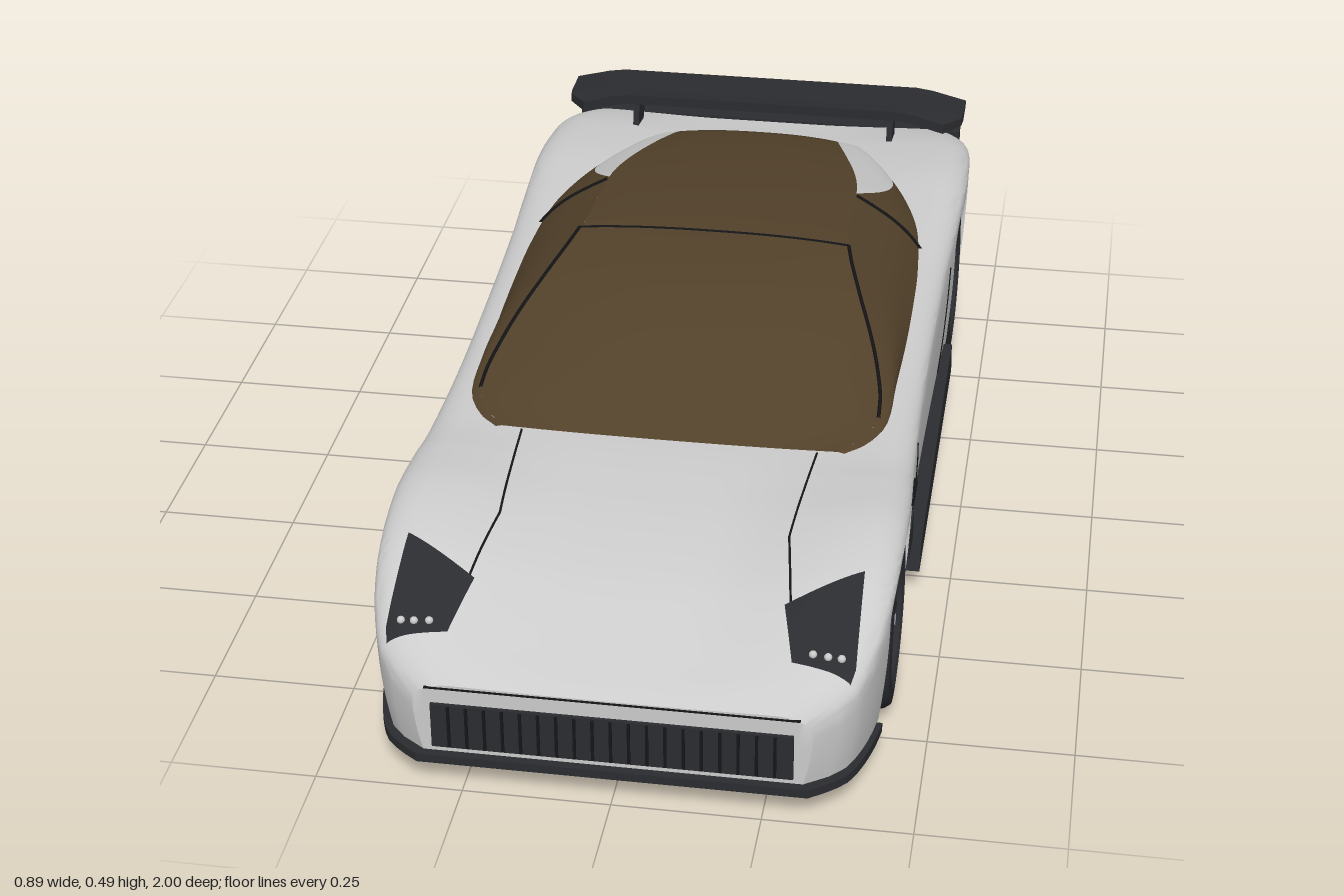
import * as THREE from 'three';
import { toCreasedNormals } from 'three/addons/utils/BufferGeometryUtils.js';

const paint = (color) => new THREE.MeshStandardMaterial({ color, side: THREE.DoubleSide });
const GREY = paint(0xcccccc), GLASS = paint(0x52412a), DARK = paint(0x2b2c30), LINE = paint(0x151517);
const METAL = paint(0x96989c), AMBER = paint(0xd89a2b), RED = paint(0xb01818), WHITE = paint(0xf4f4f4);

// Smooth interpolation through rows of [z, ...values]
function table(rows) {
  const slope = (i, k) => {
    const a = rows[Math.max(i - 1, 0)], b = rows[Math.min(i + 1, rows.length - 1)];
    return (b[k] - a[k]) / (b[0] - a[0]);
  };
  return (z, k) => {
    let i = 0;
    while (i < rows.length - 2 && z > rows[i + 1][0]) i++;
    const d = rows[i + 1][0] - rows[i][0];
    const t = THREE.MathUtils.clamp((z - rows[i][0]) / d, 0, 1), t2 = t * t, t3 = t2 * t;
    return (2 * t3 - 3 * t2 + 1) * rows[i][k] + (t3 - 2 * t2 + t) * d * slope(i, k)
      + (3 * t2 - 2 * t3) * rows[i + 1][k] + (t3 - t2) * d * slope(i + 1, k);
  };
}

// z, half width, fender height, centre height
const body = table([
  [-0.94, 0.41, 0.35, 0.345], [-0.88, 0.43, 0.368, 0.352], [-0.8, 0.442, 0.384, 0.362],
  [-0.65, 0.447, 0.395, 0.37], [-0.5, 0.443, 0.388, 0.37], [-0.3, 0.435, 0.375, 0.35],
  [0, 0.43, 0.36, 0.335], [0.2, 0.43, 0.35, 0.33], [0.4, 0.435, 0.345, 0.333],
  [0.5, 0.44, 0.352, 0.328], [0.62, 0.442, 0.356, 0.316], [0.75, 0.437, 0.332, 0.29],
  [0.85, 0.423, 0.287, 0.255], [0.93, 0.395, 0.242, 0.222], [0.96, 0.367, 0.222, 0.212],
  [0.985, 0.33, 0.2, 0.198]]);

// z, window base x and y, roof edge x and y, roof centre y
const cabin = table([
  [-0.79, 0.205, 0.365, 0.16, 0.37, 0.374], [-0.77, 0.215, 0.372, 0.165, 0.388, 0.398],
  [-0.7, 0.255, 0.38, 0.18, 0.41, 0.42], [-0.6, 0.305, 0.382, 0.205, 0.432, 0.442],
  [-0.5, 0.345, 0.38, 0.23, 0.448, 0.459], [-0.4, 0.372, 0.375, 0.245, 0.462, 0.473],
  [-0.25, 0.383, 0.37, 0.25, 0.473, 0.485], [-0.13, 0.385, 0.365, 0.257, 0.476, 0.487],
  [0, 0.385, 0.358, 0.29, 0.453, 0.476], [0.1, 0.382, 0.353, 0.322, 0.423, 0.456],
  [0.19, 0.377, 0.348, 0.347, 0.391, 0.43], [0.3, 0.362, 0.343, 0.36, 0.36, 0.388],
  [0.36, 0.335, 0.34, 0.335, 0.351, 0.359], [0.4, 0.3, 0.335, 0.3, 0.346, 0.342]]);

const AXLES = [{ z: 0.62, r: 0.155 }, { z: -0.63, r: 0.16 }];
const FLOOR = 0.065, ROLL = 0.06, DROP = 0.032;

// Height of the bodywork at x, z
function topY(x, z) {
  const inner = body(z, 1) - ROLL, ys = body(z, 2), a = Math.abs(x);
  if (a > inner) return ys - DROP * (1 - Math.sqrt(Math.max(0, 1 - ((a - inner) / ROLL) ** 2)));
  return ys + (body(z, 3) - ys) * THREE.MathUtils.smoothstep((inner - a) / inner, 0, 0.7);
}

// Skin over rows of [x, y, z] points
function loft(rows, crease = 0.6) {
  const n = rows[0].length, index = [];
  for (let i = 0; i < rows.length - 1; i++) for (let j = 0; j < n - 1; j++) {
    const a = i * n + j, b = a + n;
    index.push(a, a + 1, b + 1, a, b + 1, b);
  }
  const g = new THREE.BufferGeometry();
  g.setAttribute('position', new THREE.Float32BufferAttribute(rows.flat(2), 3));
  g.setIndex(index);
  return toCreasedNormals(g, crease);
}

const range = (a, b, n) => Array.from({ length: n + 1 }, (_, i) => a + (b - a) * i / n);

// Half section from floor centre, round the wheel well and side, up to top centre
function bodyRib([z, yb]) {
  const W = body(z, 1), side = body(z, 2) - DROP;
  const half = [[0, FLOOR, z], [0.28, FLOOR, z], [0.28, yb, z]];
  for (const t of range(0, 1, 6)) half.push([W - 0.015 * (1 - t) ** 2, yb + (side - yb) * t, z]);
  for (const t of range(0.15, 1, 6)) {
    const x = W - ROLL + ROLL * Math.cos(t * Math.PI / 2);
    half.push([x, topY(x, z), z]);
  }
  for (const t of range(0.07, 1, 14)) half.push([(W - ROLL) * (1 - t), topY((W - ROLL) * (1 - t), z), z]);
  return half.concat(half.slice(0, -1).reverse().map(([x, y, w]) => [-x, y, w]));
}

function bodyGeometry() {
  let stations = range(-0.94, 0.985, 70).map((z) => [z, FLOOR]);
  for (const { z: c, r } of AXLES) {
    const R = r + 0.01;
    stations = stations.filter(([z]) => Math.abs(z - c) > R + 0.003);
    stations.push([c - R - 0.001, FLOOR], [c + R + 0.001, FLOOR]);
    for (const a of range(0, Math.PI, 28)) stations.push([c + R * Math.cos(a), r + R * Math.sin(a)]);
  }
  const ribs = stations.sort((a, b) => a[0] - b[0]).map(bodyRib);
  const cap = (rib) => rib.map(([x, , z]) => [x, 0.14, z]);
  return loft([cap(ribs[0]), ...ribs, cap(ribs[ribs.length - 1])]);
}

// Patch laid on the bodywork between four [x, z] corners
function drape([a, b, c, d], s, lift) {
  const mix = (p, q, t) => [p[0] + (q[0] - p[0]) * t, p[1] + (q[1] - p[1]) * t];
  return loft(range(0, 1, 12).map((u) => range(0, 1, 8).map((v) => {
    const [x, z] = mix(mix(a, b, u), mix(d, c, u), v);
    const cx = Math.min(x, body(z, 1) - 0.012);
    return [s * cx, topY(cx, z) + lift, z];
  })));
}

// Side outline of [z, y] points, given thickness across x
function plate(points, x, thick) {
  const shape = new THREE.Shape(points.map((p) => new THREE.Vector2(...p)));
  return new THREE.ExtrudeGeometry(shape, { depth: thick, bevelEnabled: false })
    .rotateY(-Math.PI / 2).translate(x + thick / 2, 0, 0);
}

const box = (w, h, d, x, y, z) => new THREE.BoxGeometry(w, h, d).translate(x, y, z);
const tube = (pts, r) => new THREE.TubeGeometry(
  new THREE.CatmullRomCurve3(pts.map((p) => new THREE.Vector3(...p))), 32, r, 5);

export function createModel() {
  const car = new THREE.Group();
  const add = (name, geometry, material, parent = car) => {
    const m = new THREE.Mesh(geometry, material);
    m.name = name;
    parent.add(m);
    return m;
  };
  add('body', bodyGeometry(), GREY);

  // Windscreen and roof glass
  const roofRow = (z, lift = 0) => range(1, -1, 24).map((s) => {
    const ey = cabin(z, 4), cy = cabin(z, 5);
    return [s * cabin(z, 3), cy + (ey - cy) * Math.abs(s) ** 2.5 + lift, z];
  });
  add('roofGlass', loft(range(-0.79, -0.13, 24).map((z) => roofRow(z))), GLASS);
  add('windscreen', loft(range(-0.13, 0.4, 30).map((z) => roofRow(z))), GLASS);
  add('windscreenHeader', loft([-0.134, -0.126].map((z) => roofRow(z, 0.002))), LINE);

  // Outline of the lip under the nose
  const lip = new THREE.Shape();
  const edge = range(0.8, 0.985, 12).map((z) => [body(z, 1) - 0.005, z + 0.015 * (z - 0.8) / 0.185]);
  lip.setFromPoints([...edge, ...edge.map(([x, z]) => [-x, z]).reverse()].map((p) => new THREE.Vector2(...p)));
  add('frontSplitter', new THREE.ExtrudeGeometry(lip, { depth: 0.016, bevelEnabled: false })
    .rotateX(Math.PI / 2).translate(0, 0.068, 0), DARK);

  // Grille
  add('grille', box(0.6, 0.085, 0.012, 0, 0.122, 0.985), DARK);
  for (const x of range(-0.27, 0.27, 18)) add('grilleSlat', box(0.005, 0.08, 0.004, x, 0.122, 0.992), LINE);
  add('noseSeam', box(0.62, 0.003, 0.004, 0, 0.194, 0.985), LINE);

  for (const s of [1, -1]) {
    // Side glass narrows to a point below the rear pillar
    const sidePoint = (z, t, lift = 0) => [
      s * (cabin(z, 1) + (cabin(z, 3) - cabin(z, 1)) * t + 0.016 * Math.sin(Math.PI * t) + lift),
      cabin(z, 2) + (cabin(z, 4) - cabin(z, 2)) * t + lift, z];
    const split = (z) => 1 - THREE.MathUtils.clamp((-0.38 - z) / 0.26, 0, 1);
    const strip = (z0, z1, lo, hi) => loft(range(z0, z1, 40).map((z) => {
      const row = range(lo(z), hi(z), 8).map((t) => sidePoint(z, t));
      return s > 0 ? row : row.reverse();
    }));
    add('sideWindow', strip(-0.64, 0.4, () => 0, split), GLASS);
    add('rearPillar', strip(-0.79, -0.38, split, () => 1), GREY);
    add('windowDivider', tube(range(0, 1, 6).map((t) => sidePoint(-0.335 - 0.03 * t, t, 0.001)), 0.004), LINE);
    add('windscreenTrim', tube(range(-0.13, 0.3, 8).map((z) => sidePoint(z, 1, 0.001)), 0.0035), LINE);

    // Headlight and hood seam
    add('headlight', drape([[0.385, 0.75], [0.26, 0.81], [0.285, 0.91], [0.39, 0.93]], s, 0.004), DARK);
    for (const [x, z] of [[0.365, 0.9], [0.343, 0.9], [0.318, 0.897]])
      add('headlightLamp', new THREE.SphereGeometry(0.007, 10, 8).translate(s * x, topY(x, z) + 0.004, z), WHITE);
    for (const [a, b] of [[[0.262, 0.4], [0.246, 0.66]], [[0.246, 0.66], [0.268, 0.81]]])
      add('hoodSeam', drape([a, b, [b[0] + 0.004, b[1]], [a[0] + 0.004, a[1]]], s, 0.0015), LINE);

    // Door seams, vents and sill
    const onSide = (z, y) => [s * (body(z, 1) - 0.015 * (1 - Math.min(1, (y - FLOOR) / (body(z, 2) - DROP - FLOOR))) ** 2), y, z];
    add('doorSeam', tube([[0.29, 0.31], [0.265, 0.26], [0.235, 0.17], [0.21, 0.12]].map((p) => onSide(...p)), 0.002), LINE);
    add('doorSeam', tube([[-0.37, 0.32], [-0.35, 0.25], [-0.32, 0.17], [-0.28, 0.13]].map((p) => onSide(...p)), 0.002), LINE);
    add('sideVent', box(0.012, 0.052, 0.075, s * 0.43, 0.193, 0.41), DARK);
    add('fenderSlot', box(0.008, 0.01, 0.075, s * 0.437, 0.292, 0.425), LINE);
    add('sideSkirt', plate([[0.31, 0.05], [0.29, 0.1], [-0.4, 0.13], [-0.42, 0.06]], s * 0.432, 0.028), DARK);
    add('underLamp', new THREE.CylinderGeometry(0.03, 0.026, 0.02, 20).translate(s * 0.34, 0.046, 0.86), METAL);
    add('underLamp', new THREE.CylinderGeometry(0.03, 0.026, 0.02, 20).translate(s * 0.34, 0.055, -0.82), METAL);
    add('wingStrut', plate([[-0.81, 0.355], [-0.83, 0.42], [-0.91, 0.42], [-0.87, 0.35]], s * 0.27, 0.012), DARK);
    add('tailMarker', box(0.05, 0.008, 0.006, s * 0.36, 0.275, -0.957), WHITE);

    for (const { z, r } of AXLES) {
      // Wheel turned about its axle, outer face at x = 0
      const wheel = new THREE.Group();
      wheel.name = z > 0 ? 'frontWheel' : 'rearWheel';
      wheel.position.set(s * 0.434, r, z);
      car.add(wheel);
      const turned = (pts) => new THREE.LatheGeometry(pts.map((p) => new THREE.Vector2(...p)), 48)
        .rotateZ(-Math.PI / 2).scale(s, 1, 1);
      const k = r - 0.155;
      add('tyre', toCreasedNormals(turned([[0.112 + k, -0.135], [0.145 + k, -0.135], [r - 0.003, -0.125], [r, -0.11],
        [r, -0.025], [r - 0.003, -0.012], [0.145 + k, -0.002], [0.118 + k, 0], [0.112 + k, -0.006]]), 0.7), DARK, wheel);
      add('rimBarrel', turned([[0.114 + k, -0.002], [0.107 + k, -0.004], [0.102 + k, -0.02], [0.1 + k, -0.125]]), DARK, wheel);
      const disc = (rad, w, x) => new THREE.CylinderGeometry(rad, rad, w, 32).rotateZ(Math.PI / 2).translate(s * x, 0, 0);
      add('rimBack', disc(0.112 + k, 0.006, -0.12), LINE, wheel);
      add('brakeDisc', disc(0.082, 0.012, -0.06), METAL, wheel);
      add('brakeCaliper', box(0.04, 0.055, 0.03, s * -0.055, 0.01, -0.072), AMBER, wheel);
      add('hub', disc(0.024, 0.035, -0.026), DARK, wheel);
      add('hubCap', disc(0.01, 0.004, -0.007), METAL, wheel);
      for (let i = 0; i < 6; i++) {
        const spoke = box(0.014, 0.1, 0.017, s * -0.018, 0.06, 0).rotateX(i * Math.PI / 3 + 0.2);
        add('spoke', spoke, DARK, wheel);
      }
    }
  }

  // Rear wing: drooping tips, tapered front corners, raised trailing edge
  const wing = new THREE.BoxGeometry(0.84, 0.016, 0.14, 24, 1, 6), p = wing.attributes.position;
  for (let i = 0; i < p.count; i++) {
    const x = p.getX(i), z = p.getZ(i), a = Math.abs(x);
    p.setY(i, p.getY(i) * (1 + z * 4) - Math.max(0, a - 0.33) * 0.25 + 0.5 * z * z);
    p.setX(i, x * (1 - 0.09 * Math.max(0, (z - 0.02) / 0.05)));
  }
  add('rearWing', toCreasedNormals(wing.translate(0, 0.43, -0.885), 0.5), DARK);

  // Tail panel, light bar and plate recess
  const tail = new THREE.Shape([[-0.41, 0.08], [0.41, 0.08], [0.41, 0.315], [0.36, 0.315], [0.29, 0.26],
    [-0.29, 0.26], [-0.36, 0.315], [-0.41, 0.315]].map((q) => new THREE.Vector2(...q)));
  add('tailPanel', new THREE.ExtrudeGeometry(tail, { depth: 0.018, bevelEnabled: false }).translate(0, 0, -0.955), DARK);
  add('tailTrim', box(0.82, 0.026, 0.035, 0, 0.337, -0.953), DARK);
  add('tailLight', box(0.8, 0.007, 0.012, 0, 0.339, -0.968), RED);
  add('plateRecess', box(0.15, 0.04, 0.008, 0, 0.285, -0.943), METAL);

  // Diffuser, fins and exhausts
  add('diffuser', plate([[-0.83, 0.062], [-0.83, 0.1], [-0.955, 0.13], [-0.955, 0.085]], 0, 0.82), DARK);
  for (const x of range(-0.4, 0.4, 4))
    add('diffuserFin', plate([[-0.84, 0.065], [-0.93, 0.135], [-0.965, 0.135], [-0.975, 0.042]], x, 0.012), DARK);
  for (const x of range(-0.27, 0.27, 3)) {
    const pipe = [[0.026, -0.95], [0.03, -1], [0.036, -1], [0.033, -0.95]];
    add('exhaust', toCreasedNormals(new THREE.LatheGeometry(pipe.map((q) => new THREE.Vector2(...q)), 28)
      .rotateX(Math.PI / 2).translate(x, 0.18, 0), 0.6), METAL);
    add('exhaustCore', new THREE.CircleGeometry(0.028, 24).rotateY(Math.PI).translate(x, 0.18, -0.96), METAL);
  }
  return car;
}
